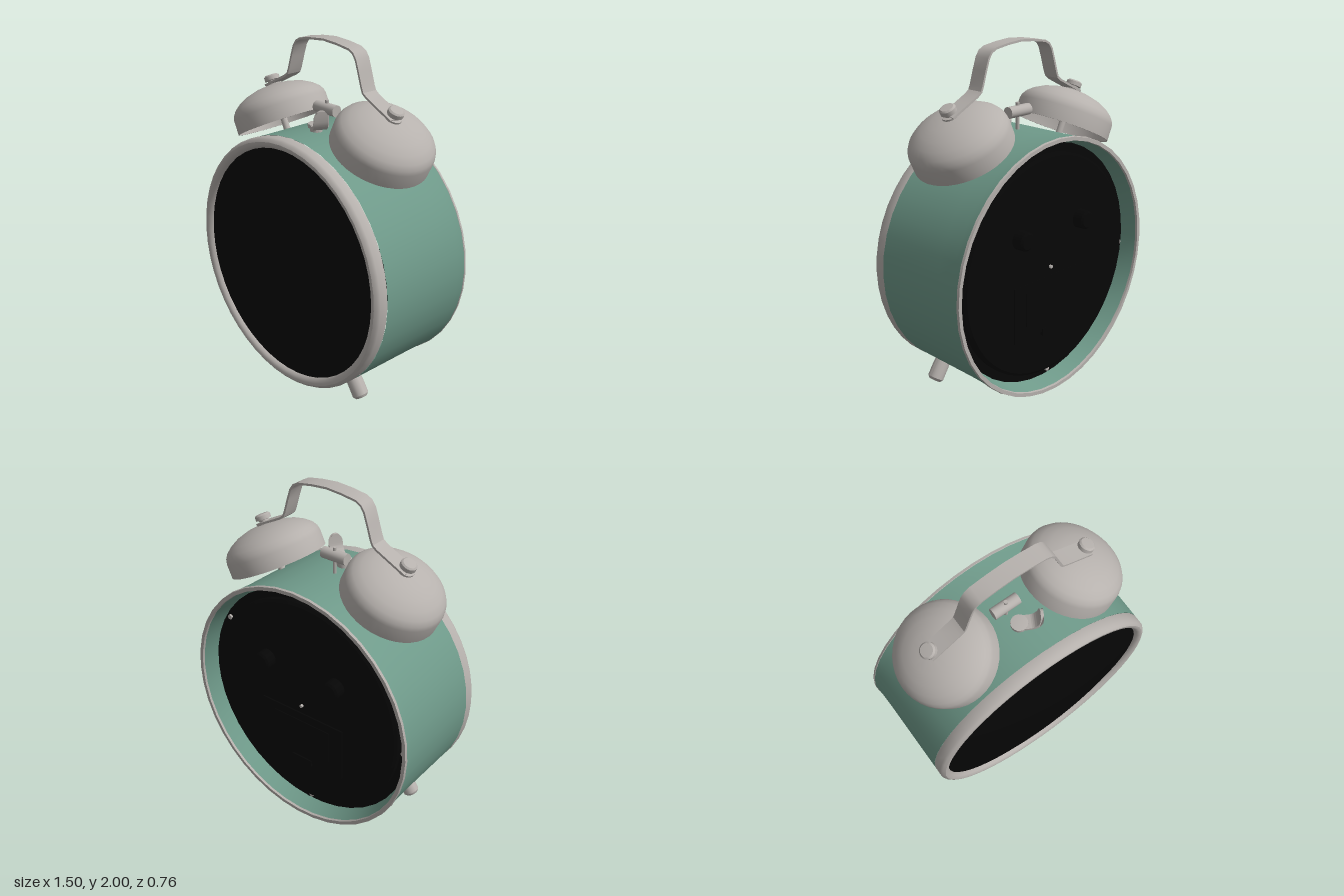
import * as THREE from 'three';
import { toCreasedNormals } from 'three/addons/utils/BufferGeometryUtils.js';

const mat = (name, color, side = THREE.FrontSide) => {
  const m = new THREE.MeshStandardMaterial({ color, side });
  m.name = name;
  return m;
};

export function createModel() {
  const green = mat('sage green', 0x6f9a8a, THREE.DoubleSide);
  const silver = mat('warm silver', 0xb6b1ad, THREE.DoubleSide);
  const black = mat('black', 0x060606);

  const clock = new THREE.Group();
  clock.name = 'alarmClock';
  const CY = 0.757;   // centre height of the case
  const BELL_Z = -0.037;

  const add = (parent, name, geo, material, x = 0, y = 0, z = 0) => {
    const mesh = new THREE.Mesh(geo, material);
    mesh.name = name;
    mesh.position.set(x, y, z);
    parent.add(mesh);
    return mesh;
  };
  const lathe = (pts, seg = 48) => toCreasedNormals(
    new THREE.LatheGeometry(pts.map(p => new THREE.Vector2(...p)), seg), 0.6);
  // Profile of [radius, z] turned about the front-to-back axis
  const turned = (name, pts, material, seg) =>
    add(clock, name, lathe(pts, seg).rotateX(Math.PI / 2), material, 0, CY);

  // Case: open shell flaring slightly at the back
  turned('caseShell', [[0.75, -0.362], [0.745, -0.31], [0.742, -0.2], [0.739, 0.25]], green, 40);
  turned('caseInside', [[0.7, -0.262], [0.728, -0.362]], green, 40);
  turned('backRim', [[0.726, -0.36], [0.728, -0.374], [0.749, -0.374], [0.752, -0.36], [0.746, -0.355]], silver, 40);

  // Front bezel and domed face
  turned('bezel', [[0.72, 0.25], [0.737, 0.25], [0.739, 0.262], [0.739, 0.305], [0.731, 0.32],
    [0.717, 0.33], [0.703, 0.33], [0.688, 0.32], [0.679, 0.305], [0.677, 0.285]], silver);
  const dome = [];
  for (let i = 0; i <= 8; i++) {
    const r = 0.685 * (1 - i / 8);
    dome.push([r, 0.38 - 0.17 * r * r]);
  }
  turned('face', dome, black);

  // Recessed, stepped back plate with knobs, battery door and screws
  const back = -0.312;
  turned('backPlate', [[0, back], [0.635, back], [0.65, back + 0.012], [0.65, -0.268], [0.704, -0.268]], black);
  const disc = (r, h, seg = 20) => toCreasedNormals(
    new THREE.CylinderGeometry(r, r, h, seg).rotateX(Math.PI / 2), 0.6);
  for (const s of [-1, 1]) {
    const knob = lathe([[0, -0.378], [0.042, -0.378], [0.053, -0.368], [0.056, back]], 24);
    add(clock, 'settingKnob', knob.rotateX(Math.PI / 2), black, s * 0.245, 0.985);
  }
  add(clock, 'batteryDoor', new THREE.BoxGeometry(0.58, 0.33, 0.012), black, 0, 0.54, back - 0.003);
  add(clock, 'batteryPanel', new THREE.BoxGeometry(0.4, 0.2, 0.012), black, 0, 0.555, back - 0.008);
  add(clock, 'batteryLatch', new THREE.BoxGeometry(0.14, 0.04, 0.024), black, 0, 0.375, back - 0.005);
  add(clock, 'centrePin', disc(0.01, 0.02, 10), silver, 0, CY, back - 0.004);
  for (const a of [0.57, 4.67, 3.21])
    add(clock, 'backScrew', disc(0.015, 0.02, 10), silver, 0.672 * Math.cos(a), CY + 0.672 * Math.sin(a), -0.27);

  for (const s of [-1, 1]) {
    // Bell, post and nut share one tilted axis
    const bell = new THREE.Group();
    bell.name = s > 0 ? 'leftBell' : 'rightBell';
    bell.position.set(s * 0.39, 1.457, BELL_Z);
    bell.rotation.z = -s * 0.455;
    clock.add(bell);
    add(bell, 'bellDome', lathe([[0.277, -0.011], [0.283, -0.011], [0.283, 0.075], [0.277, 0.1], [0.26, 0.127],
      [0.225, 0.156], [0.175, 0.183], [0.11, 0.203], [0.05, 0.212], [0, 0.214]], 40), silver);
    add(bell, 'bellPost', new THREE.CylinderGeometry(0.02, 0.02, 0.36, 14), silver, 0, 0.03);
    add(bell, 'bellNut', lathe([[0, 0.205], [0.047, 0.205], [0.047, 0.222], [0.03, 0.224], [0.03, 0.237],
      [0.045, 0.239], [0.045, 0.262], [0.036, 0.27], [0, 0.272]], 20), silver, s * -0.008, 0);

    // Splayed foot
    const foot = add(clock, s > 0 ? 'leftFoot' : 'rightFoot', lathe([[0, -0.86], [0.034, -0.86],
      [0.047, -0.845], [0.047, -0.775], [0.043, -0.70], [0, -0.70]], 18), silver, 0, CY, 0.157);
    foot.rotation.z = s * 0.585;
  }

  // Handle: flat bent strip
  const half = [[0, 1.994], [0.1, 1.986], [0.19, 1.972], [0.222, 1.955], [0.243, 1.925],
    [0.265, 1.86], [0.288, 1.785], [0.3, 1.757], [0.325, 1.738], [0.4, 1.70], [0.5, 1.65]];
  const path = [...half.slice(1).reverse().map(([x, y]) => [-x, y]), ...half];
  const offset = (d) => path.map(([x, y], i) => {
    const p = path[Math.max(i - 1, 0)], n = path[Math.min(i + 1, path.length - 1)];
    const dx = n[0] - p[0], dy = n[1] - p[1], l = Math.hypot(dx, dy);
    return new THREE.Vector2(x - dy / l * d, y + dx / l * d);
  });
  const strip = new THREE.Shape([...offset(0.006), ...offset(-0.006).reverse()]);
  add(clock, 'handle', toCreasedNormals(
    new THREE.ExtrudeGeometry(strip, { depth: 0.096, bevelEnabled: false }), 0.5), silver, 0, 0, BELL_Z - 0.048);

  // Hammer between the bells
  add(clock, 'hammerStem', new THREE.CylinderGeometry(0.011, 0.011, 0.2, 10), silver, -0.02, 1.55, BELL_Z);
  add(clock, 'hammerHead', toCreasedNormals(
    new THREE.CylinderGeometry(0.033, 0.033, 0.16, 20).rotateZ(Math.PI / 2), 0.6), silver, -0.024, 1.6, BELL_Z);

  // Alarm lever: pivot with a curved, round-ended tab
  const lever = new THREE.Group();
  lever.name = 'alarmLever';
  lever.position.set(-0.005, 1.49, 0.06);
  lever.rotation.y = -0.5;
  clock.add(lever);
  add(lever, 'leverPivot', lathe([[0.035, -0.01], [0.035, 0.025], [0.047, 0.028], [0.047, 0.05], [0, 0.055]], 18), silver);
  const tab = new THREE.Shape();
  tab.moveTo(0, 0.03);
  tab.lineTo(0.06, 0.03);
  tab.quadraticCurveTo(0.105, 0.035, 0.116, 0.09);
  tab.quadraticCurveTo(0.122, 0.12, 0.124, 0.152);
  tab.lineTo(0.108, 0.152);
  tab.quadraticCurveTo(0.105, 0.12, 0.099, 0.09);
  tab.quadraticCurveTo(0.085, 0.052, 0.055, 0.048);
  tab.lineTo(0, 0.048);
  const tabGeo = new THREE.ExtrudeGeometry(tab, { depth: 0.08, bevelEnabled: false }).translate(0, 0, -0.04);
  const pos = tabGeo.attributes.position;
  for (let i = 0; i < pos.count; i++) {
    const t = Math.max(0, (pos.getY(i) - 0.1) / 0.053);
    pos.setZ(i, pos.getZ(i) * Math.sqrt(1 - t * t));
  }
  add(lever, 'leverTab', toCreasedNormals(tabGeo, 0.5), silver);

  return clock;
}
